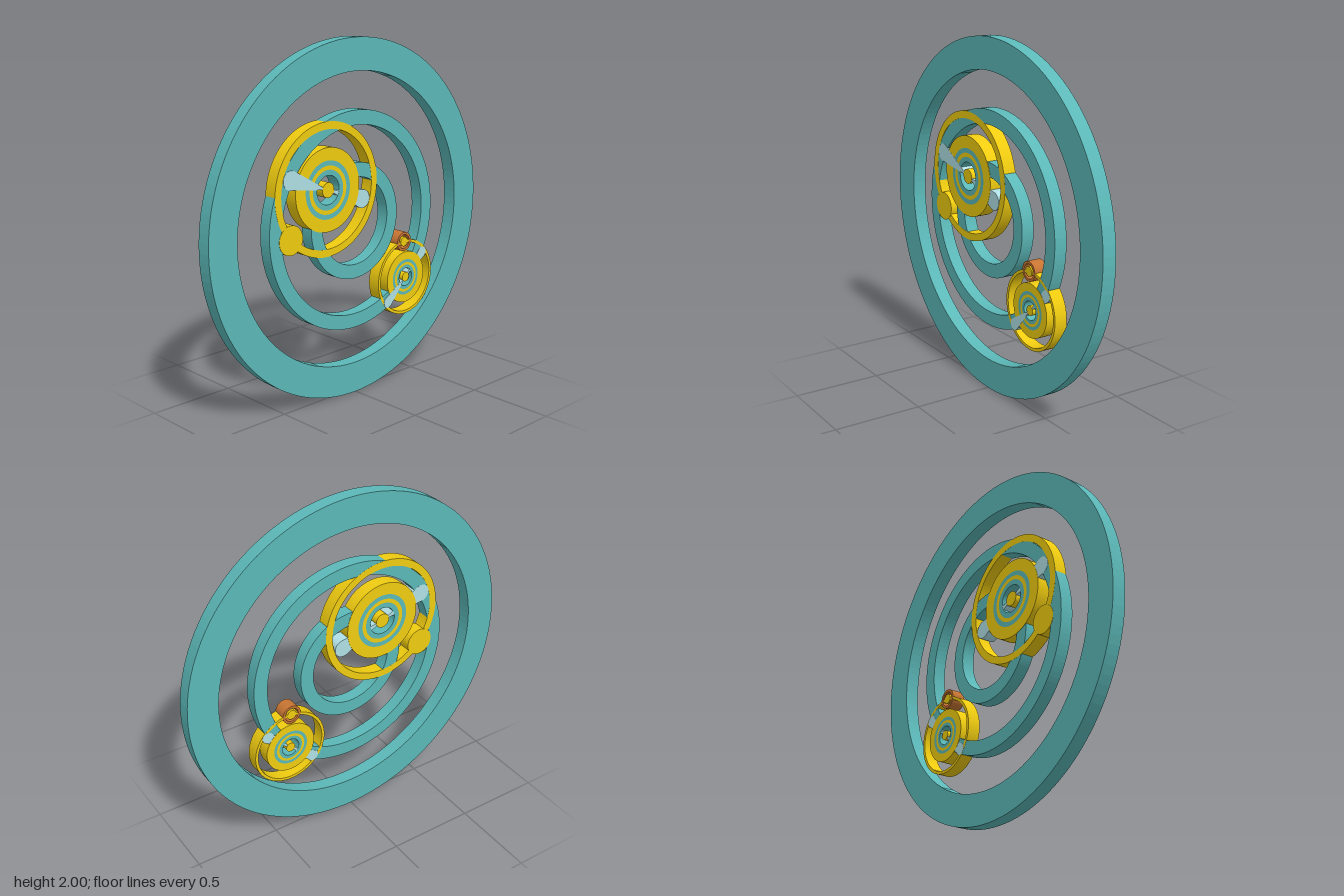
import * as THREE from 'three';

const paint = (color) => new THREE.MeshStandardMaterial({ color });
const teal = paint(0x5cb8b8), gold = paint(0xf0cc10), pale = paint(0xb0e0e6), copper = paint(0xc87533);

// Flat plate from a shape, spanning depth "back" to "front"
function plate(name, shape, material, front, back = -front) {
  const geo = new THREE.ExtrudeGeometry(shape, { depth: front - back, bevelEnabled: false, curveSegments: 64 });
  geo.translate(0, 0, back);
  const mesh = new THREE.Mesh(geo, material);
  mesh.name = name;
  return mesh;
}

// Disc, or ring when an inner radius is given
function ring(name, u, v, outer, inner, material, half) {
  const shape = new THREE.Shape().absarc(u, v, outer, 0, Math.PI * 2, false);
  if (inner > 0) shape.holes.push(new THREE.Path().absarc(u, v, inner, 0, Math.PI * 2, true));
  return plate(name, shape, material, half);
}

// Ring left open around one direction, where a dial hub sits
function openRing(name, v, outer, inner, angle, gap, material, half) {
  const a = angle + gap, b = angle - gap + Math.PI * 2;
  const shape = new THREE.Shape().absarc(0, v, outer, a, b, false);
  shape.absarc(0, v, inner, b, a, true);
  return plate(name, shape, material, half);
}

// Teardrop hand: narrow at the hub, round at the tip
function hand(name, u, v, du, dv, r, front) {
  const a = Math.atan2(dv, du), len = Math.hypot(du, dv), w = r * 0.12, root = r * 0.7;
  const shape = new THREE.Shape();
  shape.moveTo(root, w);
  shape.lineTo(root, -w);
  shape.absarc(len, 0, r, -Math.PI * 0.55, Math.PI * 0.55, false);
  shape.closePath();
  const mesh = plate(name, shape, pale, front, -0.038);
  mesh.rotation.z = a;
  mesh.position.set(u, v, 0);
  return mesh;
}

// Dial: orbit ring, striped disc with an open centre, hub and two hands
function dial(name, u, v, s, orbit, hands, tipRadius) {
  const g = new THREE.Group();
  g.name = name;
  g.add(ring('orbitRing', u, v, orbit[0], orbit[1], gold, 0.0375));
  const radii = [0.23, 0.16, 0.133, 0.11, 0.08];
  for (let i = 0; i < 4; i++) {
    g.add(ring(i % 2 ? 'tealStripe' : 'goldBand', u, v, radii[i] * s, radii[i + 1] * s, i % 2 ? teal : gold, 0.039));
  }
  g.add(ring('hub', u, v, 0.042 * s, 0, gold, 0.04));
  g.add(hand('longHand', u, v, ...hands[0], tipRadius, 0.0396));
  g.add(hand('shortHand', u, v, ...hands[1], tipRadius, 0.038));
  return g;
}

export function createModel() {
  const model = new THREE.Group();
  model.name = 'ringedDial';

  // Plates are drawn in a plane and turned to face sideways
  const plane = new THREE.Group();
  plane.name = 'plates';
  plane.rotation.y = Math.PI / 2;
  model.add(plane);

  // Concentric teal rings
  plane.add(ring('outerRing', 0, 1, 1, 0.822, teal, 0.04));
  plane.add(openRing('middleRing', 1, 0.613, 0.532, Math.atan2(-0.406, 0.405), 0.16, teal, 0.037));
  plane.add(openRing('innerRing', 1, 0.326, 0.246, Math.atan2(0.205, -0.205), 0.5, teal, 0.037));

  // Large dial with its round knob
  plane.add(dial('largeDial', -0.205, 1.205, 1, [0.368, 0.326], [[-0.26, 0.089], [0.258, -0.087]], 0.052));
  plane.add(ring('knob', -0.468, 0.975, 0.081, 0, gold, 0.0385));

  // Small dial with its copper-ringed bead
  plane.add(dial('smallDial', 0.404, 0.596, 0.66, [0.222, 0.205], [[-0.143, -0.123], [0.14, 0.122]], 0.033));
  plane.add(ring('beadRing', 0.39, 0.811, 0.056, 0.041, copper, 0.039));
  plane.add(ring('beadCore', 0.39, 0.811, 0.028, 0, gold, 0.039));

  return model;
}
